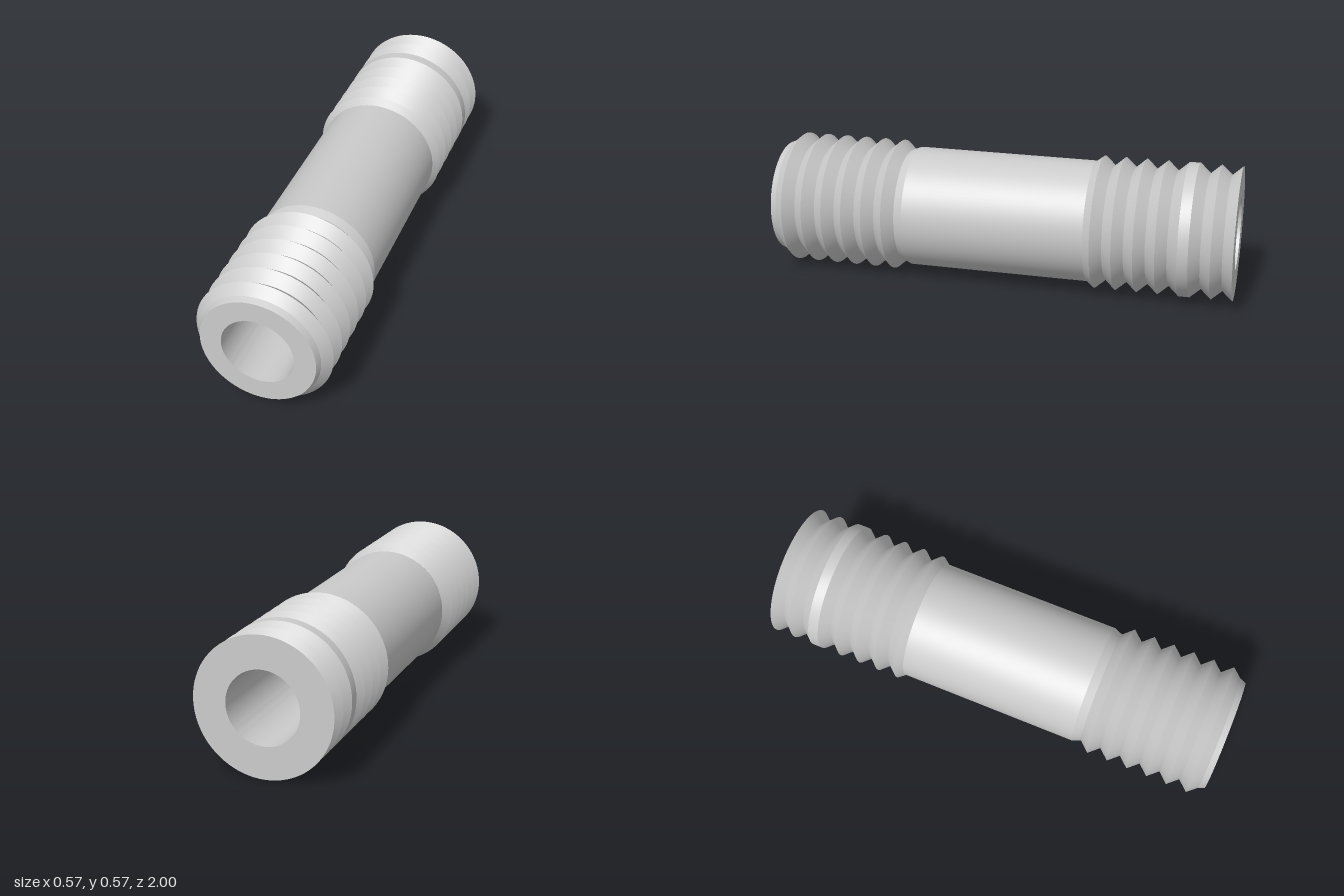
import * as THREE from 'three';
import { toCreasedNormals } from 'three/addons/utils/BufferGeometryUtils.js';

const CREST = 0.285, ROOT = 0.245, SHANK = 0.26, BORE = 0.151, PITCH = 0.09;

export function createModel() {
  const group = new THREE.Group();
  group.name = 'threadedStud';
  const material = new THREE.MeshStandardMaterial({ color: 0xcccccc });

  // Revolves [radius, z] pairs around the z axis
  const addPart = (name, profile) => {
    const points = profile.map(([r, z]) => new THREE.Vector2(r, z));
    let geometry = new THREE.LatheGeometry(points, 96);
    geometry.rotateX(Math.PI / 2);
    geometry = toCreasedNormals(geometry, 0.25);
    const mesh = new THREE.Mesh(geometry, material);
    mesh.name = name;
    mesh.position.y = CREST;
    group.add(mesh);
  };

  // V-shaped ridges: crest, root, crest ... starting at z
  const ridges = (z, count) => {
    const list = [];
    for (let i = 0; i < count; i++) {
      if (i > 0) list.push([ROOT, z + (i - 0.5) * PITCH]);
      list.push([CREST, z + i * PITCH]);
    }
    return list;
  };

  // Back thread, with one flat-topped ridge
  addPart('backThread', [
    ...ridges(-1, 3),
    ...ridges(-0.775, 5),
    [SHANK, -0.382],
  ]);

  // Plain middle with a short taper into the front thread
  addPart('shank', [[SHANK, -0.382], [SHANK, 0.4], [ROOT, 0.438]]);

  // Front thread with a chamfered tip
  addPart('frontThread', [
    [ROOT, 0.438],
    ...ridges(0.483, 6),
    [0.25, 0.974],
    [0.24, 1],
  ]);

  // End faces and the through hole
  addPart('frontFace', [[0.24, 1], [BORE, 1]]);
  addPart('bore', [[BORE, 1], [BORE, -1]]);
  addPart('backFace', [[BORE, -1], [CREST, -1]]);

  return group;
}
